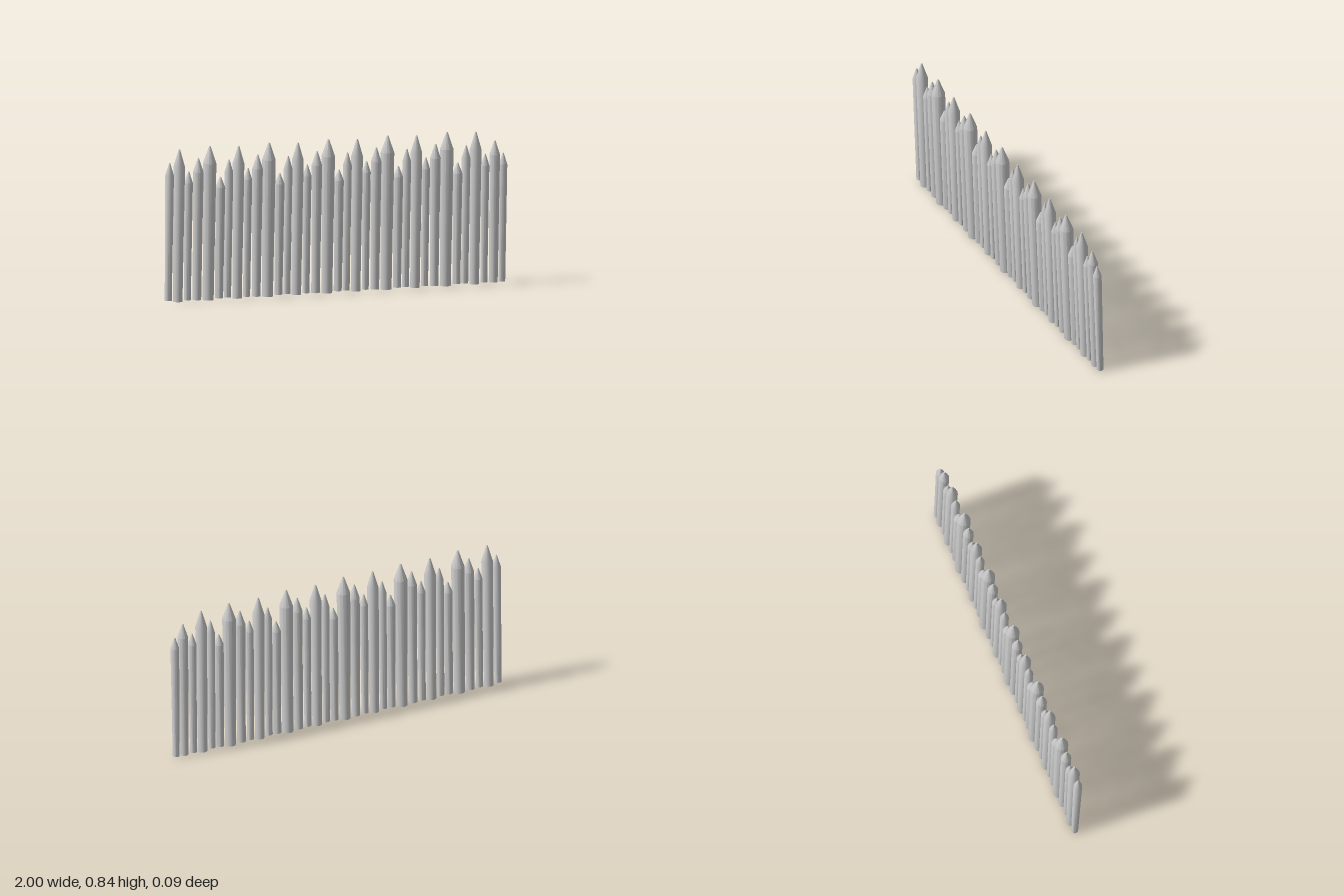
import * as THREE from 'three';
import { toCreasedNormals } from 'three/addons/utils/BufferGeometryUtils.js';

// Repeating run of stakes: x offset, base y, shoulder y, tip y, shoulder radius
const RUN = [
  [0.000, 0.008, 0.69, 0.76, 0.024],
  [0.056, 0.000, 0.735, 0.83, 0.032],
  [0.112, 0.006, 0.645, 0.707, 0.0235],
  [0.168, 0.004, 0.70, 0.777, 0.029],
  [0.234, 0.000, 0.745, 0.838, 0.037],
  [0.298, 0.007, 0.61, 0.668, 0.027],
];
const PERIOD = 0.347, START = -0.976, COUNT = 34, LEAN = 0.0265;

// Round log, thicker toward the shoulder, sharpened to a blunt point
function stakeGeometry([, base, shoulder, tip, r]) {
  const profile = [
    [0, base], [r * 0.8, base], [r, shoulder], [r * 0.12, tip], [0, tip],
  ].map(([x, y]) => new THREE.Vector2(x, y));
  return toCreasedNormals(new THREE.LatheGeometry(profile, 12), 0.6);
}

export function createModel() {
  const group = new THREE.Group();
  group.name = 'palisade';
  const material = new THREE.MeshStandardMaterial({ color: 0xcccccc });
  const geometries = RUN.map(stakeGeometry);

  const addStake = (x, kind) => {
    const stake = new THREE.Mesh(geometries[kind], material);
    stake.name = 'stake';
    stake.position.set(x, 0.001, -0.0125);
    stake.rotation.x = LEAN; // the wall leans slightly forward
    group.add(stake);
  };

  for (let i = 0; i < COUNT; i++) {
    const kind = i % RUN.length;
    addStake(START + Math.floor(i / RUN.length) * PERIOD + RUN[kind][0], kind);
  }
  // Short end stake
  addStake(0.976, 2);
  return group;
}
